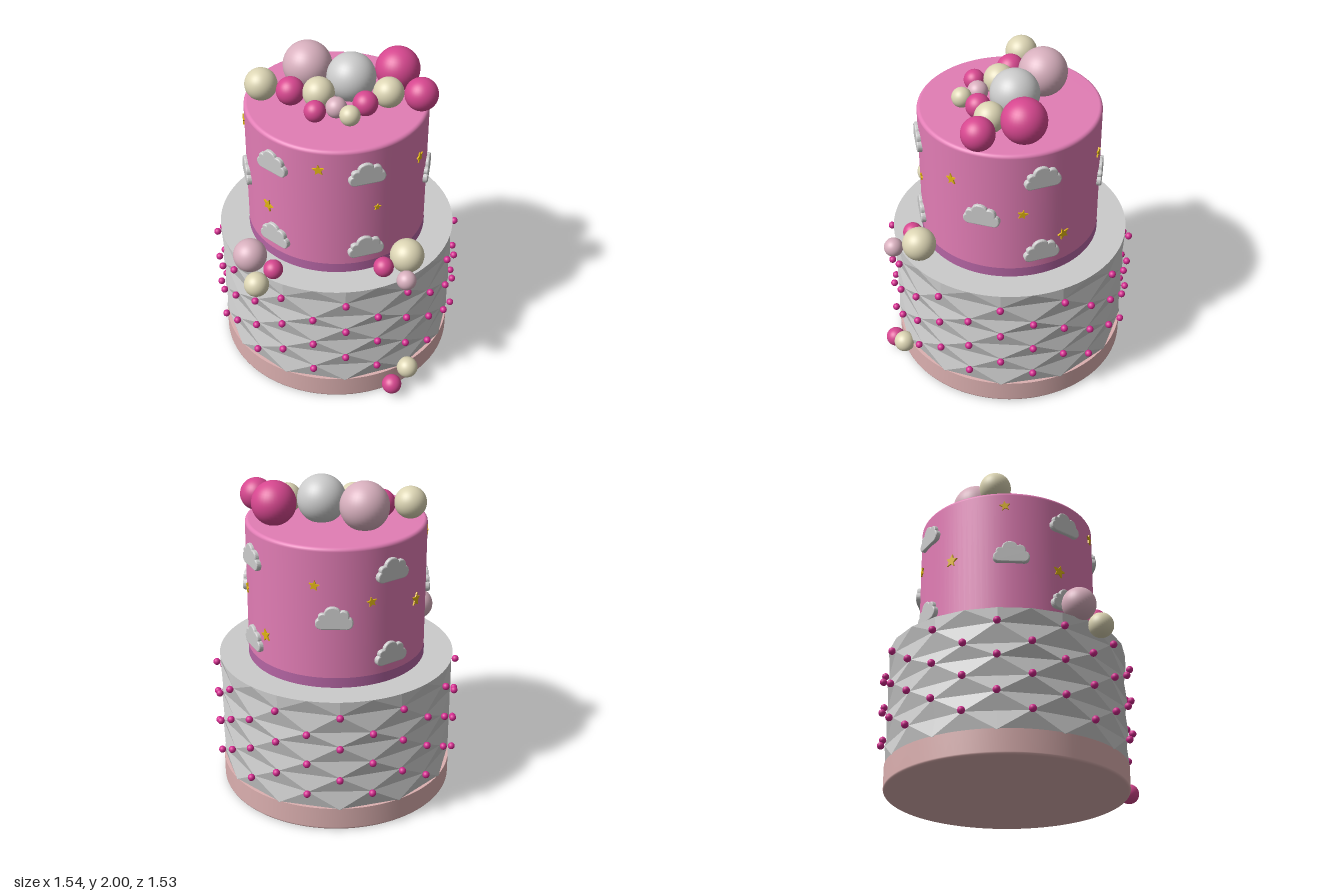
import * as THREE from 'three';

const paint = (color) => new THREE.MeshStandardMaterial({ color });
const MAT = {
  white: paint(0xe6e6e4), icing: paint(0xcccccc), pink: paint(0xe27db5), purple: paint(0xb565a4),
  hot: paint(0xd6478f), bead: paint(0xd42a90), beige: paint(0xdcd5b4), mauve: paint(0xd8b0be),
  blush: paint(0xdcb0b0), gold: paint(0xe0b414),
};
const RAD = Math.PI / 180;

function add(parent, name, geometry, material) {
  const mesh = new THREE.Mesh(geometry, material);
  mesh.name = name;
  parent.add(mesh);
  return mesh;
}

function group(parent, name) {
  const g = new THREE.Group();
  g.name = name;
  parent.add(g);
  return g;
}

// Solid of revolution with rounded top and/or bottom rims
function roundedDrum(r, y0, y1, bottomRim, topRim) {
  const pts = [new THREE.Vector2(0, y0)];
  const rim = (b, y, from) => {
    for (let i = 0; i <= 5; i++) {
      const a = (from + i * 18) * RAD;
      pts.push(new THREE.Vector2(r - b + b * Math.cos(a), y + b * Math.sin(a)));
    }
  };
  if (bottomRim) rim(bottomRim, y0 + bottomRim, -90);
  else pts.push(new THREE.Vector2(r, y0), new THREE.Vector2(r, y0));
  if (topRim) rim(topRim, y1 - topRim, 0);
  else pts.push(new THREE.Vector2(r, y1), new THREE.Vector2(r, y1));
  pts.push(new THREE.Vector2(0, y1));
  return new THREE.LatheGeometry(pts, 96);
}

// Folded diamond wall: ridges meet at the bead points, valleys between them
const ROWS = [0.14, 0.255, 0.36, 0.46, 0.57, 0.655, 0.775, 0.865];
function quiltedWall(r) {
  const n = 24, pos = [];
  const isPeak = (i, j) => (i + j) % 2 === 1;
  const point = (i, j) => {
    const radius = isPeak(i, j) || j === ROWS.length - 1 ? r : r * Math.cos(Math.PI / 12);
    const a = i * 15 * RAD;
    return [radius * Math.sin(a), ROWS[j], radius * Math.cos(a)];
  };
  for (let j = 0; j < ROWS.length - 1; j++) {
    for (let i = 0; i < n; i++) {
      const a = point(i, j), b = point(i + 1, j), c = point(i + 1, j + 1), d = point(i, j + 1);
      if (isPeak(i, j)) pos.push(...a, ...b, ...c, ...a, ...c, ...d);
      else pos.push(...a, ...b, ...d, ...b, ...c, ...d);
    }
  }
  const g = new THREE.BufferGeometry();
  g.setAttribute('position', new THREE.Float32BufferAttribute(pos, 3));
  g.computeVertexNormals();
  return g;
}

function cloudGeometry() {
  const s = new THREE.Shape();
  s.moveTo(-0.07, -0.065);
  s.lineTo(0.075, -0.065);
  s.bezierCurveTo(0.115, -0.062, 0.118, -0.005, 0.085, 0.005);
  s.bezierCurveTo(0.088, 0.045, 0.055, 0.055, 0.035, 0.045);
  s.bezierCurveTo(0.02, 0.082, -0.05, 0.082, -0.056, 0.03);
  s.bezierCurveTo(-0.085, 0.035, -0.095, 0.015, -0.088, -0.002);
  s.bezierCurveTo(-0.118, -0.015, -0.112, -0.065, -0.07, -0.065);
  return new THREE.ExtrudeGeometry(s, {
    depth: 0.025, bevelThickness: 0.008, bevelSize: 0.008, bevelOffset: -0.006, bevelSegments: 3, curveSegments: 10,
  });
}

function starGeometry() {
  const s = new THREE.Shape();
  for (let i = 0; i < 10; i++) {
    const r = i % 2 ? 0.45 : 1, a = (90 + i * 36) * RAD;
    s[i ? 'lineTo' : 'moveTo'](r * Math.cos(a), r * Math.sin(a));
  }
  s.closePath();
  return new THREE.ExtrudeGeometry(s, { depth: 1, bevelEnabled: false });
}

// Place a flat decoration against the upper wall; angle 0 is the front
function stick(mesh, angle, y, radius) {
  const a = angle * RAD;
  mesh.position.set(radius * Math.sin(a), y, radius * Math.cos(a));
  mesh.rotation.y = a;
}

// Each ball: [material, radius, x, y, z]
const TOP_BALLS = [
  ['mauve', 0.146, -0.2, 1.852, -0.136], ['white', 0.145, 0.075, 1.85, -0.057],
  ['hot', 0.132, 0.325, 1.85, -0.198], ['hot', 0.098, 0.494, 1.825, 0.012],
  ['beige', 0.09, 0.305, 1.815, 0.012], ['beige', 0.096, -0.43, 1.823, 0.075],
  ['hot', 0.084, -0.255, 1.802, 0.083], ['beige', 0.093, -0.087, 1.818, 0.095],
  ['hot', 0.073, 0.19, 1.797, 0.124], ['mauve', 0.062, 0.033, 1.79, 0.185],
  ['hot', 0.063, -0.078, 1.79, 0.247], ['beige', 0.06, 0.123, 1.788, 0.25],
];
const LEDGE_BALLS = [
  ['mauve', 0.1, -0.407, 0.955, 0.58], ['hot', 0.058, -0.255, 0.92, 0.638],
  ['beige', 0.074, -0.346, 0.833, 0.69], ['beige', 0.102, 0.498, 0.947, 0.4],
  ['hot', 0.06, 0.374, 0.918, 0.494], ['mauve', 0.058, 0.52, 0.895, 0.56],
];
const BASE_BALLS = [['hot', 0.06, 0.465, 0.082, 0.62], ['beige', 0.065, 0.545, 0.145, 0.52]];

export function createModel() {
  const cake = new THREE.Group();
  cake.name = 'tieredCake';

  // Lower tier
  const lower = group(cake, 'lowerTier');
  add(lower, 'baseBand', roundedDrum(0.72, 0, 0.147, 0.015, 0), MAT.blush);
  add(lower, 'quiltedWall', quiltedWall(0.722), MAT.icing);
  const ledge = add(lower, 'ledge', new THREE.CircleGeometry(0.722, 96), MAT.icing);
  ledge.rotation.x = -Math.PI / 2;
  ledge.position.y = 0.865;

  // Beads on the ridge points, staggered row by row
  const beads = group(lower, 'beads');
  const beadGeo = new THREE.SphereGeometry(0.022, 14, 10);
  for (let j = 1; j <= 6; j++) {
    for (let i = 0; i < 12; i++) {
      const a = (i * 30 + (j % 2 ? 0 : 15)) * RAD;
      add(beads, 'bead', beadGeo, MAT.bead).position.set(0.746 * Math.sin(a), ROWS[j], 0.746 * Math.cos(a));
    }
  }

  // Upper tier
  const upper = group(cake, 'upperTier');
  add(upper, 'upperBody', roundedDrum(0.541, 0.865, 1.73, 0, 0.022), MAT.pink);
  add(upper, 'bottomStripe', new THREE.CylinderGeometry(0.543, 0.543, 0.063, 96, 1, true), MAT.purple).position.y = 0.8975;

  // Clouds
  const clouds = group(upper, 'clouds');
  const cloudGeo = cloudGeometry();
  const cloud = (angle, y) => stick(add(clouds, 'cloud', cloudGeo, MAT.white), angle, y, 0.527);
  for (const angle of [29, 129, 229, 329]) [1.57, 1.05].forEach((y) => cloud(angle, y));
  for (const angle of [92, 192, 292]) cloud(angle, 1.31);

  // Stars: [angle, height, radius, tilt]
  const stars = group(upper, 'stars');
  const starGeo = starGeometry();
  for (const [angle, y, r, tilt] of [
    [0, 1.605, 0.036, 5], [36, 1.315, 0.023, -10], [72, 1.5, 0.036, 10], [117, 1.325, 0.033, -12],
    [144, 1.115, 0.04, 15], [180, 1.505, 0.033, -8], [215, 1.395, 0.032, 10], [252, 1.315, 0.043, -10],
    [288, 1.63, 0.034, 8], [324, 1.235, 0.042, -14],
  ]) {
    const star = add(stars, 'star', starGeo, MAT.gold);
    stick(star, angle, y, 0.535);
    star.rotation.z = tilt * RAD;
    star.scale.set(r, r, 0.014);
  }

  // Ball clusters
  const ballGeo = new THREE.SphereGeometry(1, 36, 24);
  for (const [name, list] of [['topBalls', TOP_BALLS], ['ledgeBalls', LEDGE_BALLS], ['baseBalls', BASE_BALLS]]) {
    const cluster = group(cake, name);
    for (const [mat, r, x, y, z] of list) {
      const ball = add(cluster, 'ball', ballGeo, MAT[mat]);
      ball.scale.setScalar(r);
      ball.position.set(x, y, z);
    }
  }
  return cake;
}
